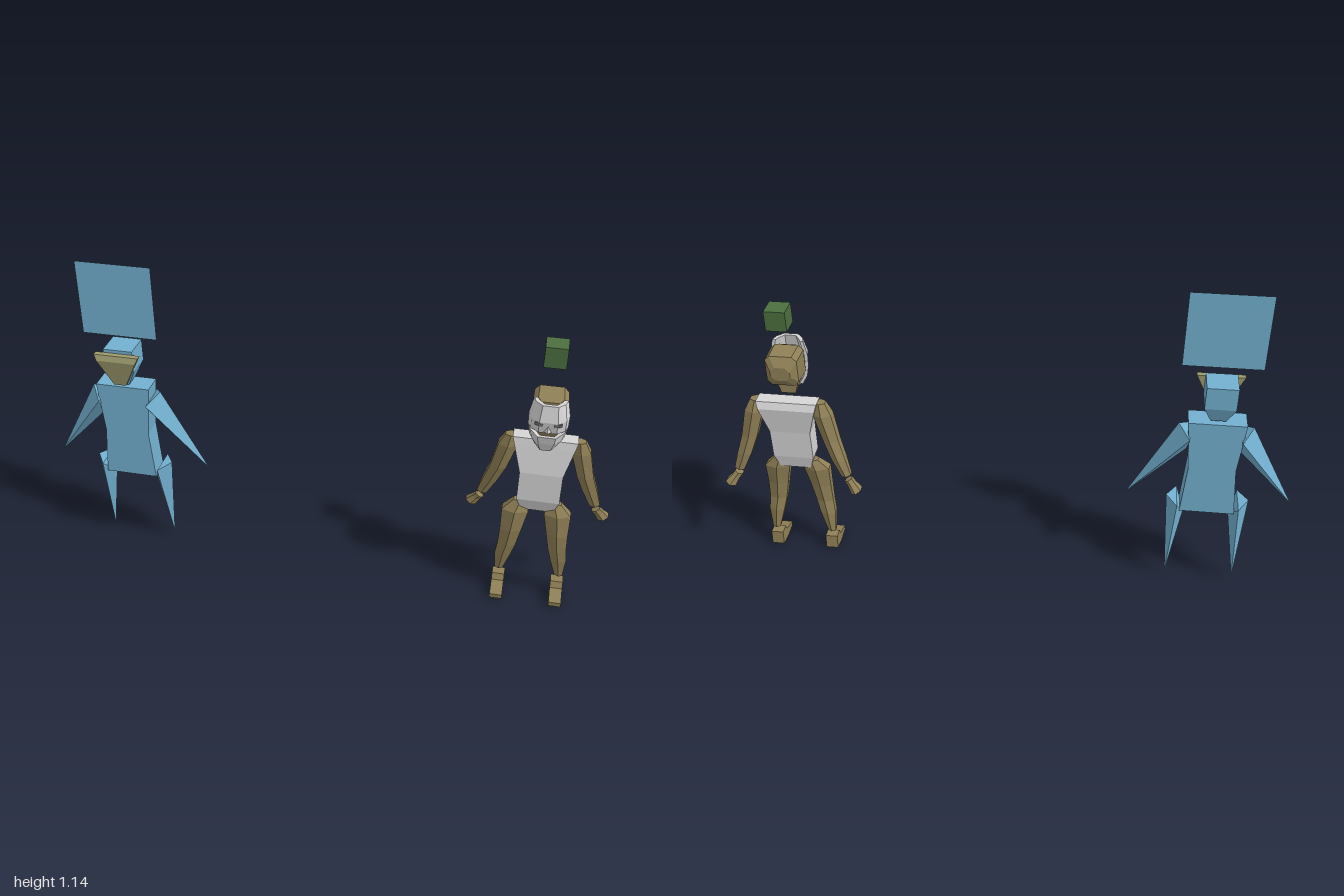
import * as THREE from 'three';

const mat = (name, color, side = THREE.FrontSide) =>
  Object.assign(new THREE.MeshStandardMaterial({ color, flatShading: true, side }), { name });

// Joins equal-length cross-sections into a closed, flat-shaded solid
function loft(sections) {
  const n = sections[0].length, tris = [];
  for (let k = 0; k < sections.length - 1; k++) {
    const a = sections[k], b = sections[k + 1];
    for (let i = 0; i < n; i++) {
      const j = (i + 1) % n;
      tris.push([a[i], a[j], b[i]], [a[j], b[j], b[i]]);
    }
  }
  // Ends are strips between the two halves of each loop
  [sections[0], sections[sections.length - 1]].forEach((s, end) => {
    for (let i = 0; i < n / 2 - 1; i++) {
      const pair = [[s[i], s[n - 1 - i], s[i + 1]], [s[i + 1], s[n - 1 - i], s[n - 2 - i]]];
      tris.push(...pair.map(t => (end ? [t[0], t[2], t[1]] : t)));
    }
  });
  // Turn the solid outward whatever the direction of its loops
  const c = sections.flat().reduce((s, p) => s.add(p), new THREE.Vector3()).divideScalar(n * sections.length);
  let volume = 0;
  for (const t of tris) {
    const [p, q, r] = t.map(v => v.clone().sub(c));
    volume += p.dot(q.cross(r));
  }
  const pts = tris.flatMap(t => (volume < 0 ? [t[0], t[2], t[1]] : t));
  const g = new THREE.BufferGeometry().setFromPoints(pts);
  g.computeVertexNormals();
  return g;
}

const V = (x, y, z) => new THREE.Vector3(x, y, z);
// Level rectangle: height, half width, back z, front z
const rect = ([y, w, z0, z1]) => [V(-w, y, z0), V(w, y, z0), V(w, y, z1), V(-w, y, z1)];
// Six-sided ring, optionally tilted across x
const ring = s => ([x, y, z, rx, rz, tilt = 0]) => Array.from({ length: 6 }, (_, i) => {
  const a = (i + 0.5) * Math.PI / 3, dx = rx * Math.cos(a);
  return V(s * (x + dx), y + tilt * dx, z + rz * Math.sin(a));
});
// Upright octagon at a given z, for the head
const octagon = ([z, w, y0, y1]) => {
  const c = 0.016;
  return [V(-w + c, y0, z), V(w - c, y0, z), V(w, y0 + c, z), V(w, y1 - c, z),
    V(w - c, y1, z), V(-w + c, y1, z), V(-w, y1 - c, z), V(-w, y0 + c, z)];
};
// Hollow, open-backed band of the face mask, sagging towards its middle
const band = ([y, w, front, sag = 0]) => {
  const arc = (w, f) => [[-1, 0.05], [-0.85, f - 0.022], [-0.45, f], [0.45, f], [0.85, f - 0.022], [1, 0.05]]
    .map(([u, z]) => V(u * w, y - sag * (1 - u * u), z));
  return [...arc(w, front), ...arc(w - 0.012, front - 0.012).reverse()];
};

function add(group, name, geometry, material) {
  const m = new THREE.Mesh(geometry, material);
  m.name = name;
  group.add(m);
  return m;
}

function spikyFigure(blue, blueSheet, olive) {
  const g = new THREE.Group();
  g.name = 'spikyFigure';
  add(g, 'torso', loft([[0.315, 0.094, -0.055, 0.025], [0.5, 0.08, -0.055, 0.025], [0.685, 0.097, -0.055, 0.025]].map(rect)), blue);
  add(g, 'head', loft([[0.695, 0.026, -0.045, 0.02], [0.752, 0.052, -0.066, 0.03], [0.832, 0.052, -0.066, 0.03]].map(rect)), blue);
  add(g, 'faceWedge', loft([[0.7, 0.022, 0.03, 0.038], [0.8, 0.07, 0.03, 0.058], [0.82, 0.08, 0.03, 0.05]].map(rect)), olive);
  // Pointed limbs: four-cornered base running to a tip
  for (const s of [1, -1]) {
    const side = s > 0 ? 'left' : 'right';
    const spike = (corners, [x, y, z]) => loft([
      corners.map(([a, b, c]) => V(s * a, b, c)),
      corners.map(() => V(s * x, y, z))]);
    add(g, side + 'Arm', spike([[0.125, 0.657, -0.015], [0.087, 0.625, 0.043], [0.09, 0.555, -0.015], [0.087, 0.63, -0.077]], [0.285, 0.353, -0.02]), blue);
    add(g, side + 'Leg', spike([[0.142, 0.355, -0.02], [0.105, 0.352, 0.038], [0.078, 0.29, -0.02], [0.105, 0.35, -0.077]], [0.121, 0.015, -0.04]), blue);
  }
  // Square sheet above the head
  add(g, 'floatingSheet', new THREE.PlaneGeometry(0.265, 0.267), blueSheet).position.set(0.002, 1.006, 0);
  g.position.x = -0.715;
  return g;
}

function maskedFigure(wood, white, grey, green) {
  const g = new THREE.Group();
  g.name = 'maskedFigure';
  add(g, 'torso', loft([
    [0.37, 0.055, -0.035, 0.005], [0.42, 0.072, -0.045, 0.022], [0.53, 0.072, -0.05, 0.022],
    [0.63, 0.1, -0.063, 0.005], [0.655, 0.107, -0.052, 0]].map(rect)), white);
  add(g, 'head', loft([
    [-0.066, 0.034, 0.755, 0.805], [-0.045, 0.055, 0.725, 0.837],
    [0.035, 0.057, 0.722, 0.837], [0.05, 0.045, 0.73, 0.83]].map(octagon)), wood);
  add(g, 'neck', loft([[0.668, 0.025, -0.006, 0.012], [0.7, 0.034, -0.006, 0.036], [0.73, 0.038, -0.006, 0.046]].map(rect)), wood);

  // Face mask: upper shell and jaw with a curved gap for the mouth
  const mask = new THREE.Group();
  mask.name = 'faceMask';
  g.add(mask);
  add(mask, 'upperMask', loft([[0.748, 0.064, 0.102], [0.79, 0.065, 0.11], [0.845, 0.054, 0.098]].map(band)), white);
  add(mask, 'jaw', loft([[0.672, 0.036, 0.078, 0.008], [0.708, 0.056, 0.093, 0.01], [0.748, 0.064, 0.1, 0.024]].map(band)), white);
  add(mask, 'nose', new THREE.ConeGeometry(0.012, 0.035, 4), white).position.set(0, 0.77, 0.103);
  for (const s of [1, -1]) {
    const eye = add(mask, s > 0 ? 'leftEye' : 'rightEye', new THREE.BoxGeometry(0.026, 0.009, 0.006), grey);
    eye.position.set(s * 0.03, 0.782, 0.107);
    eye.rotation.z = s * 0.25;
  }

  // Limbs, mirrored
  const footShape = new THREE.Shape([[-0.047, 0.008], [0.01, 0], [0.066, 0.005], [0.067, 0.022],
    [0.005, 0.038], [-0.006, 0.06], [-0.043, 0.06]].map(p => new THREE.Vector2(...p)));
  const footGeometry = new THREE.ExtrudeGeometry(footShape, { depth: 0.044, bevelEnabled: false })
    .translate(0, 0, -0.022).rotateY(-Math.PI / 2);
  for (const s of [1, -1]) {
    const side = s > 0 ? 'left' : 'right';
    add(g, side + 'Arm', loft([
      [0.113, 0.652, -0.025, 0.022, 0.02], [0.121, 0.61, -0.03, 0.037, 0.033], [0.146, 0.51, -0.04, 0.032, 0.03],
      [0.17, 0.44, -0.055, 0.029, 0.026], [0.195, 0.375, -0.066, 0.019, 0.018, 0.3]].map(ring(s))), wood);
    add(g, side + 'Hand', loft([
      [0.2, 0.357, -0.066, 0.015, 0.016, 0.5], [0.212, 0.342, -0.072, 0.015, 0.018, 0.5],
      [0.23, 0.318, -0.08, 0.02, 0.027, 0.5]].map(ring(s))), wood);
    add(g, side + 'Leg', loft([
      [0.058, 0.398, -0.014, 0.026, 0.02], [0.072, 0.36, -0.008, 0.052, 0.033], [0.08, 0.28, -0.002, 0.042, 0.03],
      [0.088, 0.21, -0.005, 0.036, 0.024], [0.097, 0.16, -0.014, 0.032, 0.024],
      [0.106, 0.08, -0.025, 0.016, 0.015]].map(ring(s))), wood);
    add(g, side + 'Foot', footGeometry, wood).position.x = s * 0.104;
  }
  // Cube above the head
  add(g, 'floatingCube', new THREE.BoxGeometry(0.072, 0.072, 0.072), green).position.set(-0.002, 0.974, -0.015);
  g.position.x = 0.75;
  return g;
}

export function createModel() {
  const blue = mat('blue', 0x73b0d0, THREE.DoubleSide);
  const olive = mat('olive', 0x9c9a6c);
  const wood = mat('wood', 0x8f8056);
  const white = mat('white', 0xd6d6d6);
  const grey = mat('grey', 0x6c6c6c);
  const green = mat('green', 0x4c6f3f);
  const model = new THREE.Group();
  model.name = 'twoFigures';
  model.add(spikyFigure(blue, blue, olive), maskedFigure(wood, white, grey, green));
  return model;
}
